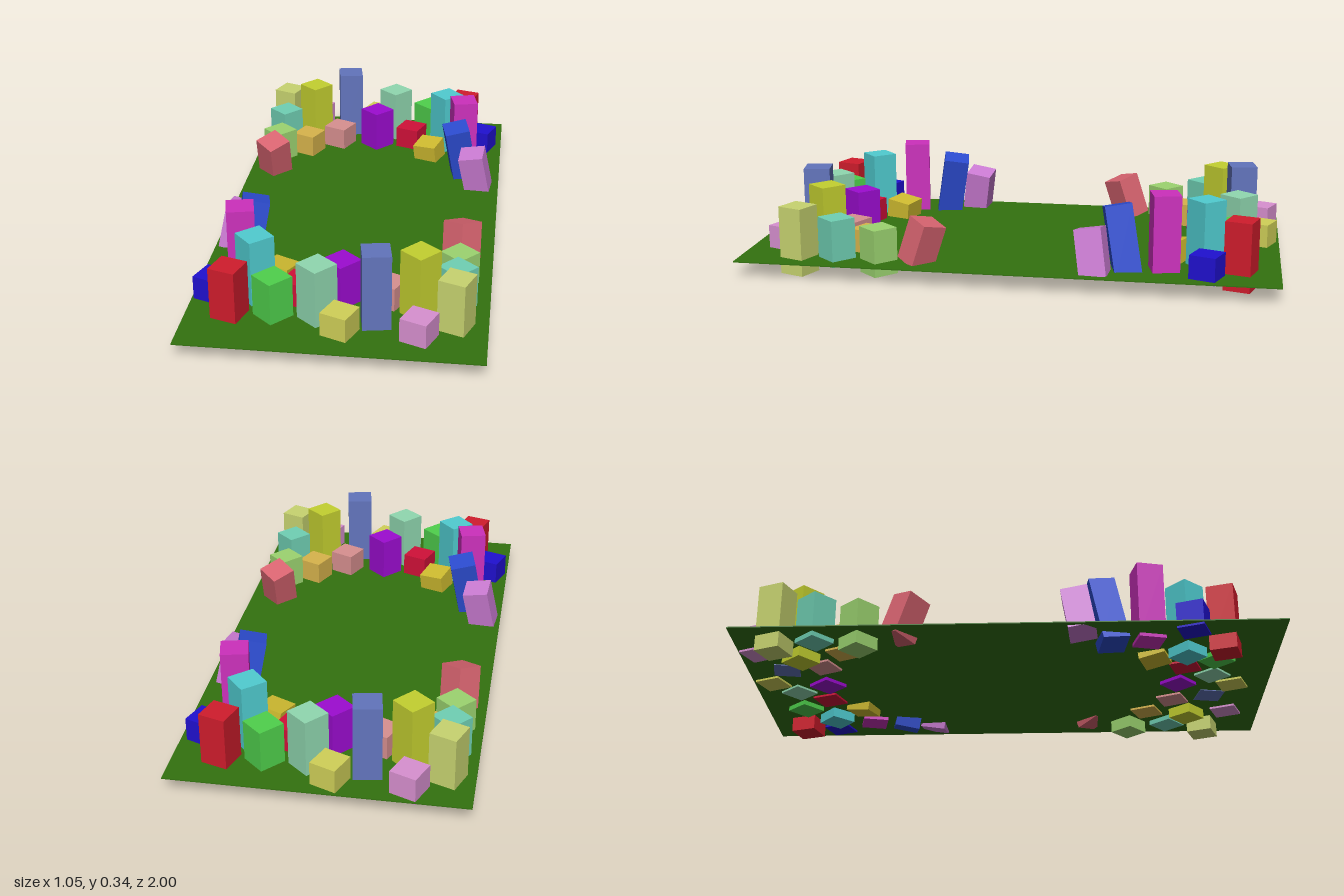
import * as THREE from 'three';

const WIDTH = 0.1; // every block has the same square footprint

// name, colour, x, z, yaw in degrees, bottom y, top y, optional lean (x, z per unit of height)
const BLOCKS = [
  // outer row
  ['redBlock', 0xd01c2c, -0.37, 0.79, -17, 0, 0.257],
  ['greenBlock', 0x4fd04c, -0.22, 0.775, -42, 0.04, 0.217],
  ['mintBlock', 0x90d8b0, -0.065, 0.775, -41, 0.05, 0.275],
  ['yellowBlockSmall', 0xd0d058, 0.025, 0.86, -22, 0.05, 0.15],
  ['slateBlock', 0x6274bc, 0.14, 0.785, 10, 0.055, 0.345],
  ['pinkBlock', 0xd890d0, 0.295, 0.865, -22, 0.05, 0.15],
  ['khakiBlock', 0xc8d470, 0.415, 0.78, -21, 0, 0.257],
  // inner row
  ['blueBlockSmall', 0x2010d0, -0.455, 0.67, -20, 0.05, 0.15],
  ['cyanBlock', 0x50ccd0, -0.3, 0.66, -48, 0.02, 0.31],
  ['redBlockSmall', 0xd01038, -0.145, 0.665, -20, 0.05, 0.15],
  ['purpleBlock', 0x9c0cd0, 0.005, 0.65, -42, 0.045, 0.228],
  ['roseBlock', 0xd89090, 0.17, 0.64, -24, 0.05, 0.15],
  ['limeBlock', 0xc4d030, 0.285, 0.705, -41, 0.02, 0.31],
  ['tealBlock', 0x70d0b4, 0.41, 0.635, -42, 0.04, 0.217],
  ['orangeBlock', 0xd8b44c, 0.295, 0.545, -24, 0.05, 0.15],
  ['leafBlock', 0x9cd470, 0.41, 0.475, -42, 0.01, 0.187],
  ['magentaBlock', 0xcc30bc, -0.38, 0.515, 13, 0.045, 0.345],
  // leaning blocks
  ['goldBlock', 0xd0bc30, -0.235, 0.54, -20, 0.035, 0.135, 0.11, -0.11],
  ['coralBlock', 0xd86470, 0.408, 0.31, -43, 0.05, 0.218, 0, -0.32],
  ['blueBlock', 0x2c4cd0, -0.378, 0.362, 12, 0.025, 0.295, 0.17, -0.18],
  ['violetBlock', 0xcc7cd4, -0.445, 0.26, -5, 0.045, 0.222, 0.2, -0.15],
];

function makeBlock([name, color, x, z, yaw, y0, y1, leanX = 0, leanZ = 0]) {
  const block = new THREE.Mesh(
    new THREE.BoxGeometry(WIDTH, y1 - y0, WIDTH),
    new THREE.MeshStandardMaterial({ color })
  );
  const up = new THREE.Vector3(0, 1, 0);
  const turn = new THREE.Quaternion().setFromAxisAngle(up, THREE.MathUtils.degToRad(yaw));
  const axis = new THREE.Vector3(leanX, 1, leanZ).normalize();
  block.quaternion.setFromUnitVectors(up, axis).multiply(turn);
  block.position.set(x, (y0 + y1) / 2, z);
  block.name = name;
  return block;
}

function makeCluster(name) {
  const cluster = new THREE.Group();
  cluster.name = name;
  for (const row of BLOCKS) cluster.add(makeBlock(row));
  return cluster;
}

export function createModel() {
  const model = new THREE.Group();
  model.name = 'blockField';

  // thin green field that the blocks are sunk into
  const ground = new THREE.Mesh(
    new THREE.BoxGeometry(1.054, 0.004, 2),
    new THREE.MeshStandardMaterial({ color: 0x33720f })
  );
  ground.name = 'field';
  ground.position.y = 0.06;
  model.add(ground);

  // the rear cluster is the front one turned by half a circle
  const rear = makeCluster('rearBlocks');
  rear.rotation.y = Math.PI;
  rear.position.set(-0.015, 0, -0.065);
  model.add(makeCluster('frontBlocks'), rear);

  return model;
}
